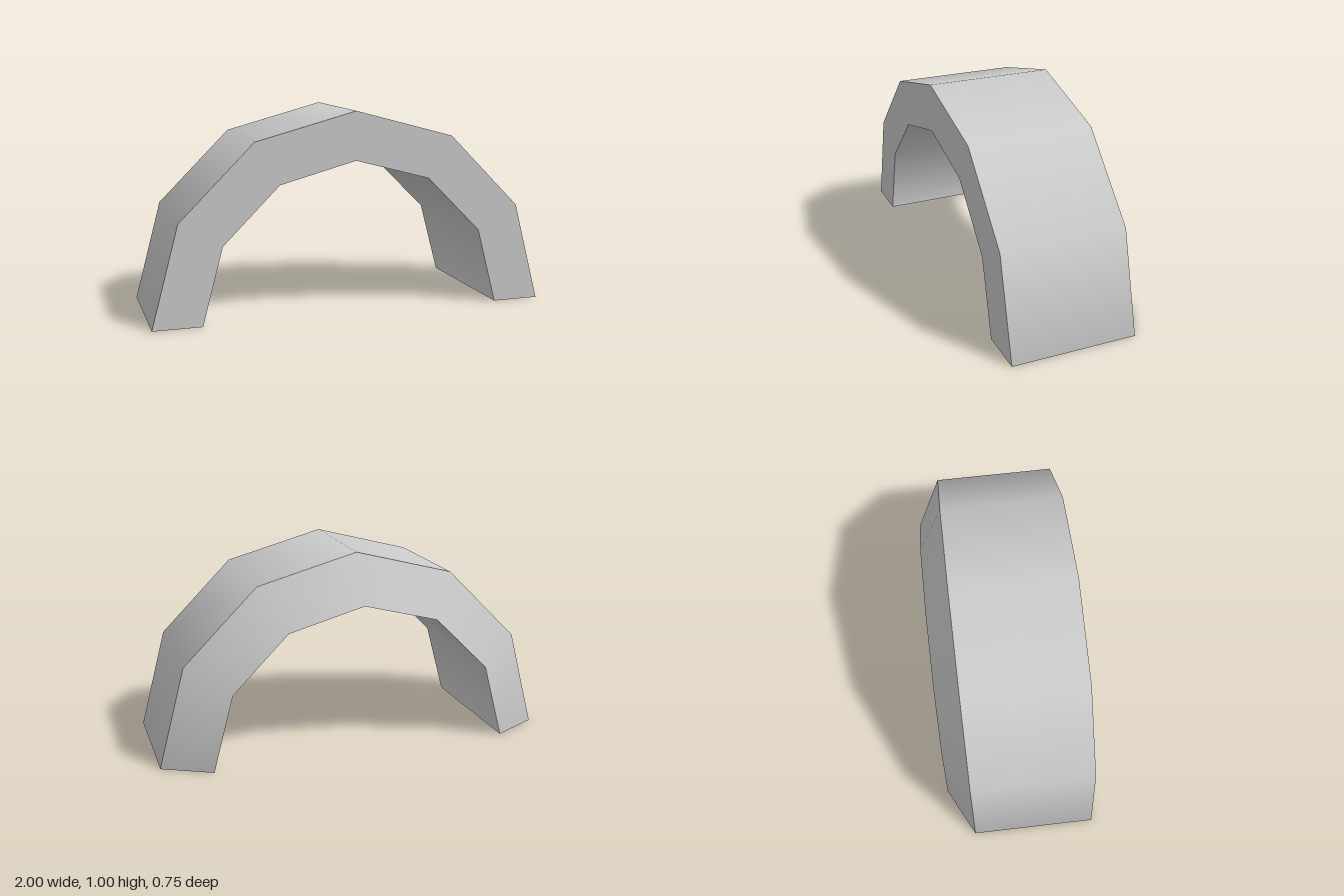
import * as THREE from 'three';

const OUTER = 1, INNER = 0.76, FRONT = 0.375, BEVEL = -0.25, BACK = -0.375, SEGMENTS = 6;

export function createModel() {
  const group = new THREE.Group();
  group.name = 'arch';
  const grey = new THREE.MeshStandardMaterial({ color: 0xcccccc });
  grey.name = 'light grey';

  const add = (name, geometry) => {
    const mesh = new THREE.Mesh(geometry, grey);
    mesh.name = name;
    group.add(mesh);
  };

  // Cross-section corners as (radius, z), running counterclockwise
  const section = [[OUTER, BEVEL], [OUTER, FRONT], [INNER, FRONT], [INNER, BACK]]
    .map(([r, z]) => new THREE.Vector2(r, z));

  // Each edge sweeps its own half ring: smooth along the arc, sharp between faces
  ['outerSurface', 'frontFace', 'innerSurface', 'backBevel'].forEach((name, i) => {
    const edge = [section[i], section[(i + 1) % section.length]];
    add(name, new THREE.LatheGeometry(edge, SEGMENTS, Math.PI / 2, Math.PI).rotateX(Math.PI / 2));
  });

  // Flat feet closing both ends, facing down
  for (const [name, side] of [['leftFoot', 1], ['rightFoot', -1]]) {
    const shape = new THREE.Shape(section.map(p => new THREE.Vector2(p.x * side, p.y)));
    add(name, new THREE.ShapeGeometry(shape).rotateX(Math.PI / 2));
  }
  return group;
}
